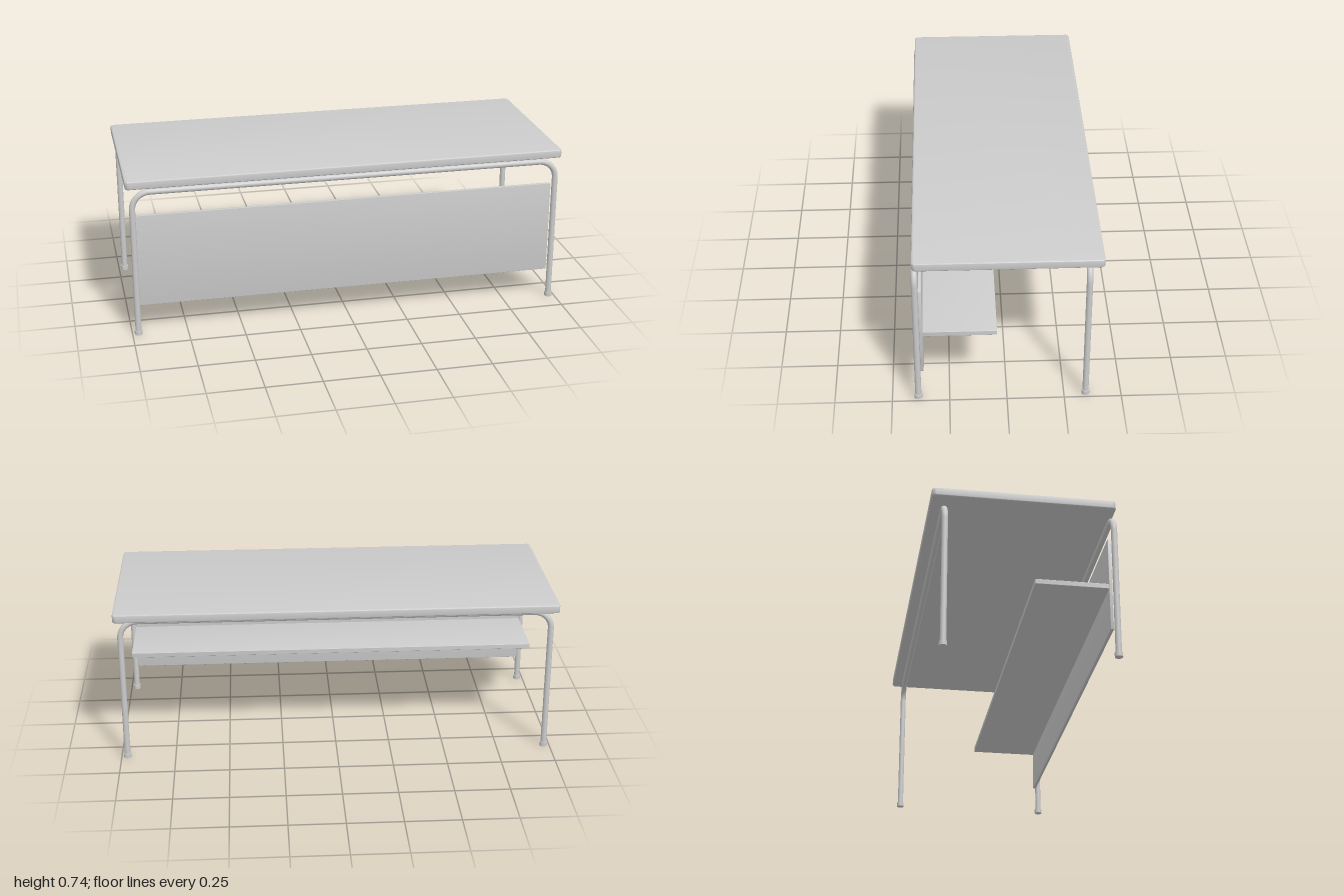
import * as THREE from 'three';
import { toCreasedNormals } from 'three/addons/utils/BufferGeometryUtils.js';

const material = new THREE.MeshStandardMaterial({ color: 0xcccccc });

function add(parent, name, geometry, x, y, z) {
  const mesh = new THREE.Mesh(geometry, material);
  mesh.name = name;
  mesh.position.set(x, y, z);
  parent.add(mesh);
  return mesh;
}

// Horizontal board with rounded corners in plan and softened edges
function boardGeometry(width, depth, height, corner, bevel) {
  const w = width / 2 - bevel, d = depth / 2 - bevel, r = corner - bevel;
  const shape = new THREE.Shape();
  shape.absarc(w - r, d - r, r, 0, Math.PI / 2);
  shape.absarc(-w + r, d - r, r, Math.PI / 2, Math.PI);
  shape.absarc(-w + r, -d + r, r, Math.PI, Math.PI * 1.5);
  shape.absarc(w - r, -d + r, r, Math.PI * 1.5, Math.PI * 2);
  shape.closePath();
  const geometry = new THREE.ExtrudeGeometry(shape, {
    depth: height - 2 * bevel, bevelThickness: bevel, bevelSize: bevel, bevelSegments: 3, curveSegments: 6,
  });
  geometry.translate(0, 0, bevel - height / 2);
  geometry.rotateX(-Math.PI / 2);
  return toCreasedNormals(geometry, Math.PI / 5);
}

// Bent tube frame: two legs, two quarter bends and a top rail
function makeFrame(name, z) {
  const frame = new THREE.Group();
  frame.name = name;
  const legX = 0.973, railY = 0.682, tube = 0.0135, bend = 0.08;
  const legTop = railY - bend, railEnd = legX - bend;

  const rail = add(frame, 'topRail', new THREE.CylinderGeometry(tube, tube, railEnd * 2, 24, 1, true), 0, railY, z);
  rail.rotation.z = Math.PI / 2;

  for (const side of [-1, 1]) {
    add(frame, 'leg', new THREE.CylinderGeometry(tube, tube, legTop, 24), side * legX, legTop / 2, z);
    const elbow = add(frame, 'bend', new THREE.TorusGeometry(bend, tube, 24, 16, Math.PI / 2), side * railEnd, legTop, z);
    if (side < 0) elbow.rotation.y = Math.PI;
    add(frame, 'foot', new THREE.CylinderGeometry(0.0175, 0.0175, 0.02, 24), side * legX, 0.01, z);
  }
  return frame;
}

export function createModel() {
  const table = new THREE.Group();
  table.name = 'table';

  add(table, 'tabletop', boardGeometry(2, 0.8, 0.038, 0.018, 0.006), 0, 0.716, -0.004);
  table.add(makeFrame('frontFrame', 0.387), makeFrame('backFrame', -0.345));

  // Upright panel behind the front legs, carrying the shelf
  const panel = add(table, 'frontPanel', boardGeometry(1.92, 0.434, 0.014, 0.004, 0.002), 0, 0.35, 0.367);
  panel.rotation.x = Math.PI / 2;
  add(table, 'shelf', boardGeometry(1.92, 0.319, 0.023, 0.004, 0.002), 0, 0.3365, 0.2015);

  return table;
}
